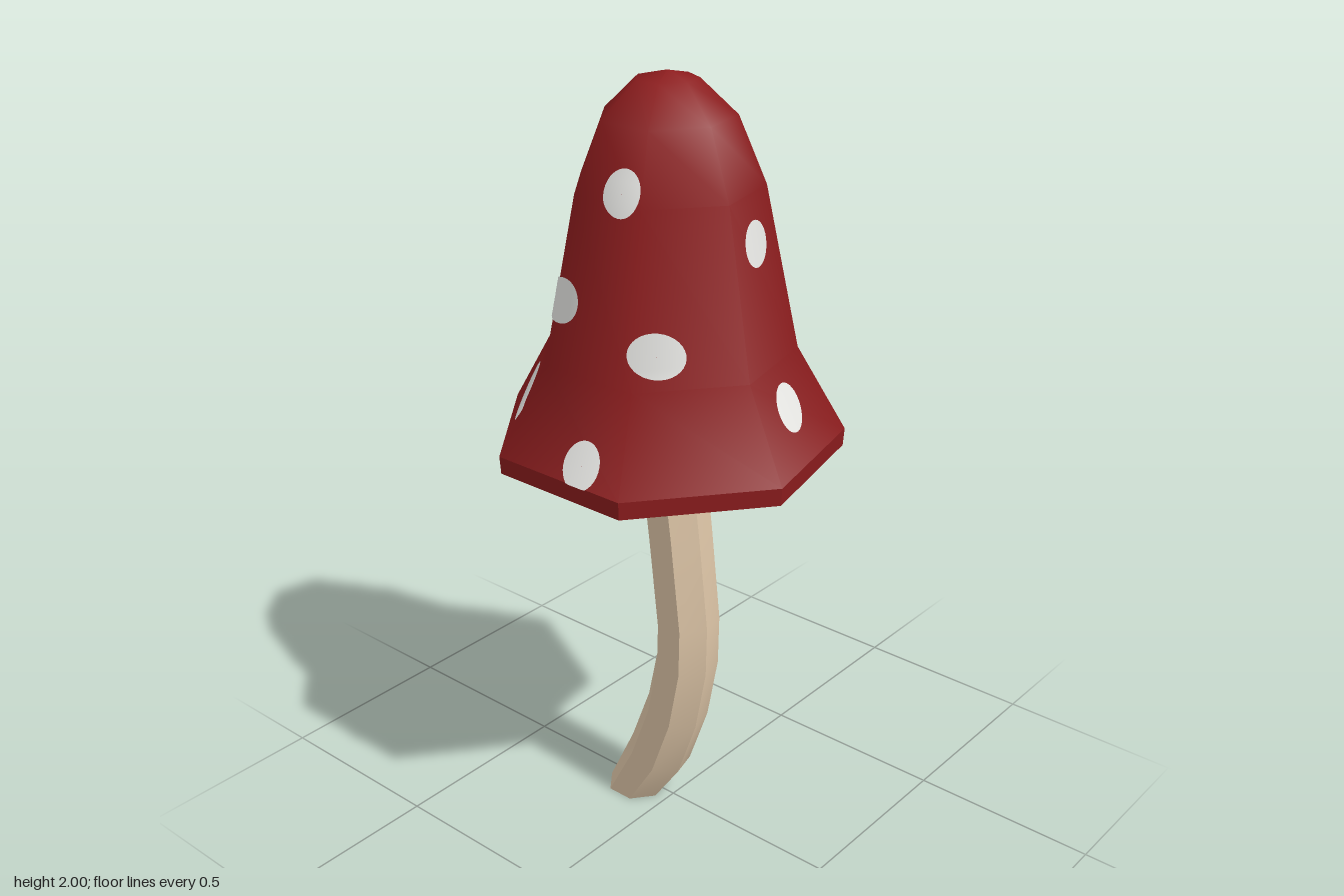
import * as THREE from 'three';
import { toCreasedNormals } from 'three/addons/utils/BufferGeometryUtils.js';

const SIDES = 7;
const CENTRE_X = -0.022;
const RIM_Y = 1.125;

// Cap outline as [radius, height], from rim to tip
const CAP = [[0.437, RIM_Y], [0.314, 1.34], [0.23, 1.74], [0.163, 1.9], [0.075, 1.983], [0, 2]];

const material = (name, color) => {
  const m = new THREE.MeshStandardMaterial({ color });
  m.name = name;
  return m;
};

function capRadius(y) {
  for (let i = 1; i < CAP.length; i++) {
    const [r0, y0] = CAP[i - 1], [r1, y1] = CAP[i];
    if (y <= y1) return r0 + (r1 - r0) * (y - y0) / (y1 - y0);
  }
  return 0;
}

// Seven-sided lathe with one corner pointing to +x
function lathe(profile) {
  return new THREE.LatheGeometry(profile.map(([r, y]) => new THREE.Vector2(r, y)), SIDES, Math.PI / 2);
}

// Round spot pressed straight onto the cap along one horizontal direction
function spotGeometry(angle, across, height) {
  const dx = Math.round(Math.sin(angle)), dz = Math.round(Math.cos(angle));
  const geo = new THREE.RingGeometry(0.0005, 0.053, 32, 6).rotateY(angle);
  geo.translate(dx ? 0 : across - CENTRE_X, height, dx ? across : 0);
  const pos = geo.attributes.position;
  const normal = new THREE.Vector3();
  for (let i = 0; i < pos.count; i++) {
    const y = Math.max(pos.getY(i), RIM_Y);
    const x = dx ? 0 : pos.getX(i), z = dz ? 0 : pos.getZ(i);
    const apothem = capRadius(y) * Math.cos(Math.PI / SIDES) + 0.004;
    let depth = Infinity;
    for (let k = 0; k < SIDES; k++) {
      const a = (k + 0.5) * 2 * Math.PI / SIDES;
      const nx = Math.cos(a), nz = Math.sin(a), facing = nx * dx + nz * dz;
      if (facing > 0.05) depth = Math.min(depth, (apothem - nx * x - nz * z) / facing);
    }
    pos.setXYZ(i, x + dx * depth, y, z + dz * depth);
    // Smooth normal that follows the cap
    const slope = (capRadius(y - 0.05) - capRadius(y + 0.05)) / 0.1;
    normal.set(pos.getX(i), 0, pos.getZ(i)).normalize().setY(slope).normalize();
    geo.attributes.normal.setXYZ(i, normal.x, normal.y, normal.z);
  }
  return geo;
}

// Bent stem: each row is [height, z, tilt]
function stemGeometry() {
  const rows = [
    [0, -0.112, 0], [0.145, -0.03, 0.32], [0.31, 0.03, 0.25], [0.475, 0.063, 0.1],
    [0.6, 0.066, -0.05], [0.85, 0.038, -0.1], [1.2, -0.008, 0],
  ];
  const n = rows.length - 1;
  const geo = new THREE.CylinderGeometry(0.083, 0.083, 1, SIDES, n, false, Math.PI / 2);
  const pos = geo.attributes.position;
  for (let i = 0; i < pos.count; i++) {
    const [y, z, tilt] = rows[Math.round((pos.getY(i) + 0.5) * n)];
    const oz = pos.getZ(i);
    pos.setY(i, y - oz * tilt);
    pos.setZ(i, z + oz);
  }
  return toCreasedNormals(geo, 0.6);
}

export function createModel() {
  const red = material('cap red', 0x8c1c1d);
  const white = material('spot white', 0xe6e6e3);
  const pink = material('gill pink', 0xd68a8a);
  const tan = material('stem tan', 0xdcc4a6);

  const model = new THREE.Group();
  model.name = 'mushroom';
  model.position.x = CENTRE_X;
  const root = new THREE.Group();
  root.add(model);
  const add = (name, geo, mat) => {
    const mesh = new THREE.Mesh(geo, mat);
    mesh.name = name;
    model.add(mesh);
  };

  add('stem', stemGeometry(), tan);
  add('cap', lathe(CAP), red);
  add('capRim', toCreasedNormals(lathe([[0.434, 1.08], [0.437, RIM_Y]]), 0.4), red);
  add('capUnderside', lathe([[0, 1.18], [0.125, 1.165], [0.434, 1.08]]), pink);

  // Spots by side: [position across, height]
  const front = 0, left = Math.PI / 2, back = Math.PI, right = -Math.PI / 2;
  const spots = [
    [front, [[0.022, 1.63], [0.031, 1.25], [-0.252, 1.42]]],
    [left, [[0.022, 1.915], [-0.028, 1.74], [0.047, 1.422], [0.215, 1.17], [-0.19, 1.16]]],
    [back, [[0.028, 1.53], [0.002, 1.21]]],
    [right, [[0.04, 1.765], [-0.103, 1.5], [-0.212, 1.25], [0.06, 1.17]]],
  ];
  for (const [angle, list] of spots) {
    for (const [across, height] of list) add('spot', spotGeometry(angle, across, height), white);
  }
  return root;
}
